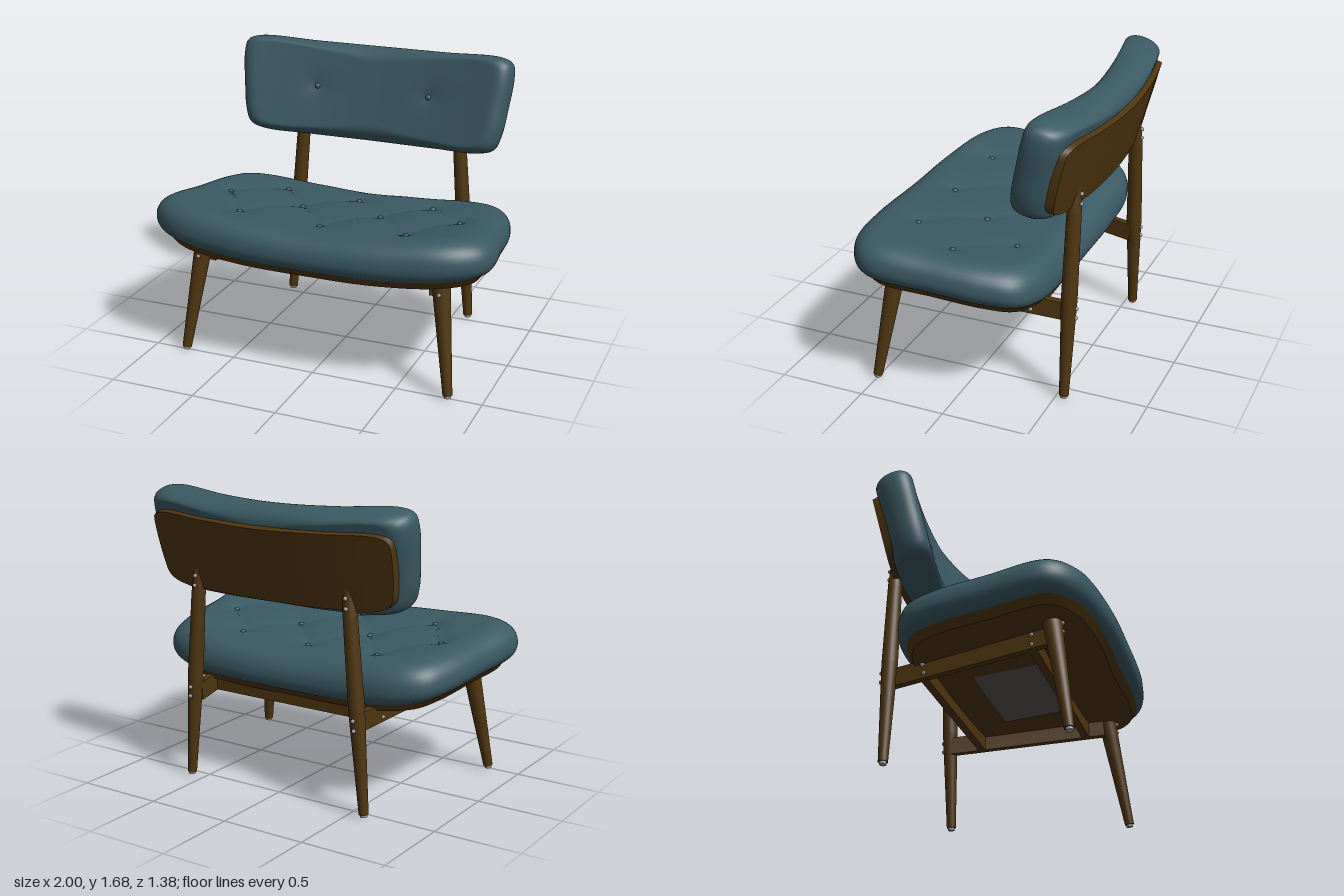
import * as THREE from 'three';
import { toCreasedNormals } from 'three/addons/utils/BufferGeometryUtils.js';

const mat = (name, color, extra = {}) => Object.assign(new THREE.MeshStandardMaterial({ color, ...extra }), { name });
const V = (x, y, z) => new THREE.Vector3(x, y, z);

// Closed outline from its right half, listed bottom to top.
function outline(half, count) {
  const left = half.slice(1, -1).reverse().map(([a, b]) => [-a, b]);
  const pts = [...half, ...left].map(([a, b]) => V(a, b, 0));
  return new THREE.CatmullRomCurve3(pts, true, 'centripetal').getSpacedPoints(count).slice(0, count);
}

// Profile of [inset, scale, height] from top centre over a rounded rim to bottom centre.
function rimProfile(top, topR, bottom, bottomR, rings) {
  const p = [], steps = 10;
  for (let i = 0; i <= rings; i++) p.push([topR, i / rings, top]);
  for (let i = steps - 1; i >= 0; i--) {
    const t = (i / steps) * Math.PI / 2;
    p.push([topR * (1 - Math.cos(t)), 1, top * Math.sin(t) ** 0.9]);
  }
  for (let i = 1; i <= steps; i++) {
    const t = (i / steps) * Math.PI / 2;
    p.push([bottomR * (1 - Math.cos(t)), 1, bottom * Math.sin(t) ** 0.9]);
  }
  for (let i = 7; i >= 0; i--) p.push([bottomR, i / 8, bottom]);
  return p;
}

// Flat panel profile with square edges.
function panelProfile(top, bottom, inset, bevel) {
  const p = [];
  for (let i = 0; i <= 8; i++) p.push([inset, i / 8, top]);
  for (let i = 8; i >= 0; i--) p.push([inset + bevel, i / 8, bottom]);
  return p;
}

// Loops of the outline, shrunk along the profile and placed by a mapping rule.
function loft(loop, profile, cy, place) {
  const pos = [], idx = [], n = loop.length;
  for (const [inset, scale, h] of profile) {
    for (const q of loop) {
      const a = q.x, b = q.y - cy;
      const k = (1 - inset / Math.hypot(a, b)) * scale;
      pos.push(...place(a * k, b * k + cy, h).toArray());
    }
  }
  for (let i = 0; i < profile.length - 1; i++) {
    for (let j = 0; j < n; j++) {
      const k = (j + 1) % n, a = i * n + j, b = a + n, c = (i + 1) * n + k, d = i * n + k;
      idx.push(a, b, c, a, c, d);
    }
  }
  const g = new THREE.BufferGeometry();
  g.setAttribute('position', new THREE.Float32BufferAttribute(pos, 3));
  g.setIndex(idx);
  g.computeVertexNormals();
  return g;
}

export function createModel() {
  const model = new THREE.Group();
  model.name = 'loungeChair';
  const fabric = mat('tealFabric', 0x3b5a64);
  const wood = mat('walnutWood', 0x50360f);
  const metal = mat('boltMetal', 0x9a9a9c);
  const lining = mat('greyLining', 0x5c5654, { side: THREE.DoubleSide });

  const add = (name, geo, material) => {
    const m = new THREE.Mesh(geo, material);
    m.name = name;
    model.add(m);
    return m;
  };
  const taper = (name, a, b, ra, rb, material = wood) => {
    const d = b.clone().sub(a);
    const m = add(name, new THREE.CylinderGeometry(rb, ra, d.length(), 24), material);
    m.position.copy(a).add(b).multiplyScalar(0.5);
    m.quaternion.setFromUnitVectors(V(0, 1, 0), d.normalize());
  };
  const beam = (name, a, b, thick, high) => {
    const m = add(name, new THREE.BoxGeometry(thick, high, a.distanceTo(b)), wood);
    m.position.copy(a).add(b).multiplyScalar(0.5);
    m.lookAt(b);
  };
  const dot = (name, p, r, material) => add(name, new THREE.SphereGeometry(r, 14, 10), material).position.copy(p);

  // Seat: dished across, sloping to the rear, tufted around its buttons
  const seatTop = 0.145;
  const tufts = [[-0.46, -0.21], [0, -0.21], [0.46, -0.21], [-0.71, 0.06], [-0.24, 0.07],
    [0.24, 0.07], [0.71, 0.06], [-0.5, 0.37], [0, 0.385], [0.5, 0.37]];
  const creases = [];
  tufts.forEach((p, i) => tufts.slice(i + 1).forEach((q) => {
    if (Math.hypot(p[0] - q[0], p[1] - q[1]) < 0.45) creases.push([p, q]);
  }));
  const tuftDepth = (x, z) => {
    let button = 0, crease = 0;
    for (const [a, b] of tufts) button = Math.max(button, Math.exp(-Math.hypot(x - a, z - b) / 0.09));
    for (const [p, q] of creases) {
      const dx = q[0] - p[0], dz = q[1] - p[1];
      const t = THREE.MathUtils.clamp(((x - p[0]) * dx + (z - p[1]) * dz) / (dx * dx + dz * dz), 0, 1);
      crease = Math.max(crease, Math.exp(-Math.hypot(x - p[0] - t * dx, z - p[1] - t * dz) / 0.05));
    }
    return 0.025 * button + 0.012 * crease;
  };
  const seatPlace = (x, b, h) => {
    const z = -b, sink = h > 0 ? tuftDepth(x, z) * (h / seatTop) : 0;
    return V(x, 0.695 + 0.09 * z + 0.065 * x * x + h - sink, z);
  };
  const seatLoop = outline([[0, -0.685], [0.5, -0.665], [0.85, -0.585], [0.99, -0.45], [0.97, -0.1],
    [0.93, 0.2], [0.86, 0.37], [0.7, 0.45], [0.4, 0.47], [0, 0.47]], 160);
  add('seatCushion', loft(seatLoop, rimProfile(seatTop, 0.19, -0.092, 0.11, 36), -0.1, seatPlace), fabric);
  add('seatBoard', toCreasedNormals(loft(seatLoop, panelProfile(-0.08, -0.125, 0.06, 0.04), -0.1, seatPlace), 0.6), wood);
  for (const [x, z] of tufts) dot('seatButton', seatPlace(x, -z, seatTop), 0.018, fabric);

  // Lining panel following the underside of the seat
  const panel = new THREE.PlaneGeometry(0.68, 0.42, 12, 4).rotateX(Math.PI / 2);
  const pp = panel.attributes.position;
  for (let i = 0; i < pp.count; i++) {
    const z = pp.getZ(i) + 0.07;
    pp.setXYZ(i, pp.getX(i), seatPlace(pp.getX(i), -z, -0.13).y, z);
  }
  panel.computeVertexNormals();
  add('seatLining', panel, lining);

  // Backrest: reclined and wrapped forward at the ends
  const tilt = 0.26, backTop = 0.11;
  const backPlace = (x, v, h) => {
    let n = h + 0.14 * x * x;
    if (h > 0) n -= 0.022 * (h / backTop) * Math.exp(-Math.hypot(Math.abs(x) - 0.35, v - 0.01) / 0.06);
    return V(x, 1.375 + v * Math.cos(tilt) + n * Math.sin(tilt), -0.51 - v * Math.sin(tilt) + n * Math.cos(tilt));
  };
  const backLoop = outline([[0, -0.285], [0.4, -0.285], [0.68, -0.28], [0.765, -0.25], [0.8, -0.17],
    [0.825, 0], [0.84, 0.17], [0.825, 0.25], [0.755, 0.28], [0.4, 0.28], [0, 0.28]], 160);
  add('backCushion', loft(backLoop, rimProfile(backTop, 0.1, -backTop, 0.09, 24), 0, backPlace), fabric);
  const boardLoop = outline([[0, -0.23], [0.4, -0.23], [0.66, -0.225], [0.74, -0.19], [0.765, -0.1],
    [0.78, 0.1], [0.77, 0.17], [0.7, 0.2], [0.4, 0.205], [0, 0.205]], 120);
  add('backBoard', toCreasedNormals(loft(boardLoop, panelProfile(-0.095, -0.142, 0, 0.008), 0, backPlace), 0.6), wood);

  for (const s of [-1, 1]) {
    dot('backButton', backPlace(s * 0.35, 0.01, backTop), 0.018, fabric);

    // Front leg with glide and bolts
    const foot = V(s * 0.803, 0.015, 0.5), knee = V(s * 0.715, 0.66, 0.4);
    taper('frontLeg', foot, knee, 0.027, 0.053);
    taper('frontGlide', V(s * 0.805, 0, 0.502), foot, 0.02, 0.02, metal);
    for (const y of [0.58, 0.63]) dot('legBolt', V(s * 0.727, y, 0.458), 0.012, metal);

    // Rear post carrying the backrest
    const post = (y) => V(s * (0.593 - 0.08 * y), y, -0.547 - 0.006 * y);
    taper('rearPostLower', post(0.015), post(0.6), 0.027, 0.045);
    taper('rearPostUpper', post(0.6), post(1.1), 0.045, 0.04);
    taper('rearPostTip', post(1.1), post(1.25), 0.04, 0.03);
    taper('rearGlide', post(0), post(0.015), 0.02, 0.02, metal);
    for (const y of [0.49, 0.545, 1.145, 1.2]) {
      dot('postBolt', post(y).add(V(0, 0, y > 1 ? -0.037 : -0.043)), 0.012, metal);
    }

    // Side rail with the bolts of the cross rails
    beam('sideRail', V(s * 0.53, 0.512, -0.54), V(s * 0.67, 0.594, 0.39), 0.042, 0.105);
    for (const [x, y, z] of [[0.676, 0.61, 0.28], [0.676, 0.555, 0.28], [0.582, 0.555, -0.35], [0.582, 0.505, -0.34]]) {
      dot('railBolt', V(s * x, y, z), 0.012, metal);
    }
  }

  // Cross rails
  beam('frontRail', V(-0.65, 0.585, 0.28), V(0.65, 0.585, 0.28), 0.045, 0.105);
  beam('rearRail', V(-0.555, 0.528, -0.345), V(0.555, 0.528, -0.345), 0.045, 0.105);

  return model;
}
